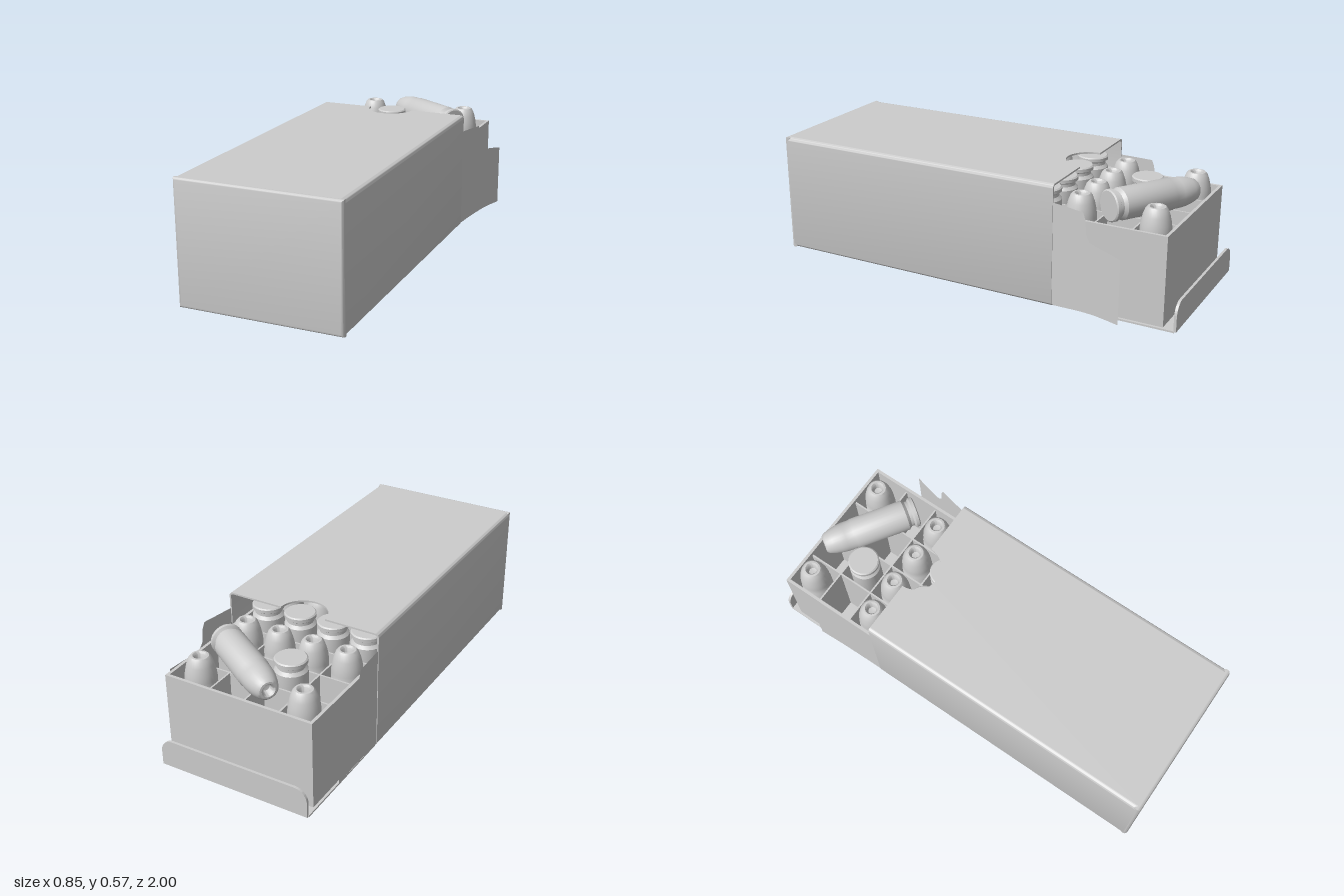
import * as THREE from 'three';
import { toCreasedNormals } from 'three/addons/utils/BufferGeometryUtils.js';

const X0 = -0.415, X1 = 0.337, TOP = 0.566, MOUTH = -0.43, T = 0.008;

export function createModel() {
  const model = new THREE.Group();
  const grey = new THREE.MeshStandardMaterial({ color: 0xcccccc });
  const thin = new THREE.MeshStandardMaterial({ color: 0xcccccc, side: THREE.DoubleSide });

  const add = (parent, name, geometry, material = grey) => {
    const mesh = new THREE.Mesh(geometry, material);
    mesh.name = name;
    parent.add(mesh);
    return mesh;
  };
  // Box given by its minimum and maximum corners
  const slab = (parent, name, a, b) => {
    const g = new THREE.BoxGeometry(b[0] - a[0], b[1] - a[1], b[2] - a[2]);
    g.translate((a[0] + b[0]) / 2, (a[1] + b[1]) / 2, (a[2] + b[2]) / 2);
    return add(parent, name, g);
  };
  const extrude = (shape, depth, options = {}) => toCreasedNormals(
    new THREE.ExtrudeGeometry(shape, { depth, bevelEnabled: false, curveSegments: 16, ...options }), 0.7);

  // ---- Outer carton sleeve, open at the back ----
  const sleeve = new THREE.Group();
  sleeve.name = 'sleeve';
  model.add(sleeve);

  // Floor and side walls with rounded long edges; the top panel closes the gap
  const r = 0.018, ri = r - T;
  const channel = new THREE.Shape();
  channel.moveTo(X0 + r, TOP);
  channel.absarc(X0 + r, TOP - r, r, Math.PI / 2, Math.PI, false);
  channel.absarc(X0 + r, r, r, Math.PI, Math.PI * 1.5, false);
  channel.absarc(X1 - r, r, r, Math.PI * 1.5, Math.PI * 2, false);
  channel.absarc(X1 - r, TOP - r, r, 0, Math.PI / 2, false);
  channel.absarc(X1 - r, TOP - r, ri, Math.PI / 2, 0, true);
  channel.absarc(X1 - r, r, ri, 0, -Math.PI / 2, true);
  channel.absarc(X0 + r, r, ri, -Math.PI / 2, -Math.PI, true);
  channel.absarc(X0 + r, TOP - r, ri, Math.PI, Math.PI / 2, true);
  const channelGeo = extrude(channel, 0.985 - MOUTH, { curveSegments: 5 });
  channelGeo.translate(0, 0, MOUTH);
  add(sleeve, 'sleeveWalls', channelGeo);

  // Top panel with a half-round thumb notch
  const panel = new THREE.Shape();
  panel.moveTo(X0 + r, -0.985);
  panel.lineTo(X1 - r, -0.985);
  panel.lineTo(X1 - r, -MOUTH);
  panel.lineTo(0.065, -MOUTH);
  panel.absarc(-0.045, -MOUTH, 0.11, 0, Math.PI, true);
  panel.lineTo(X0 + r, -MOUTH);
  const panelGeo = extrude(panel, T);
  panelGeo.rotateX(-Math.PI / 2).translate(0, TOP - T, 0);
  add(sleeve, 'sleeveTop', panelGeo);

  // Closed front end with softened edges
  const b = 0.015;
  const end = new THREE.Shape();
  end.moveTo(X0 + b, b);
  end.lineTo(X1 - b, b);
  end.lineTo(X1 - b, TOP - b);
  end.lineTo(X0 + b, TOP - b);
  const endGeo = extrude(end, 0.005, { bevelEnabled: true, bevelSize: b, bevelThickness: b, bevelSegments: 4 });
  endGeo.translate(0, 0, 1 - b - 0.005);
  add(sleeve, 'sleeveFront', endGeo);

  // Side flaps: stepped outline rows of [z, bottom, top], splayed outward
  const rows = [[-0.43, 0.01, 0.485], [-0.51, 0.018, 0.483], [-0.585, 0.024, 0.48], [-0.597, 0.025, 0.45],
    [-0.604, 0.026, 0.385], [-0.62, 0.027, 0.355], [-0.66, 0.03, 0.345], [-0.72, 0.03, 0.336], [-0.78, 0.03, 0.325]];
  const sideFlap = (name, x, splay) => {
    const g = new THREE.PlaneGeometry(1, 1, rows.length - 1, 1);
    const p = g.attributes.position;
    for (let i = 0; i < p.count; i++) {
      const [z, low, high] = rows[i % rows.length];
      const t = (MOUTH - z) / 0.35;
      p.setXYZ(i, x + splay * (0.75 * t + 0.25 * t * t), i < rows.length ? high : low, z);
    }
    g.computeVertexNormals();
    add(sleeve, name, g, thin);
  };
  sideFlap('leftFlap', X1 - 0.003, 0.088);
  sideFlap('rightFlap', X0 + 0.003, -0.013);

  // Bottom flap and its turned-up tuck tab with rounded corners
  slab(sleeve, 'bottomFlap', [-0.408, 0, -0.992], [0.322, T, MOUTH]);
  const tab = new THREE.Shape();
  tab.moveTo(-0.405, 0.002);
  tab.lineTo(0.318, 0.002);
  tab.lineTo(0.318, 0.075);
  tab.absarc(0.258, 0.072, 0.06, 0, Math.PI / 2, false);
  tab.absarc(-0.345, 0.072, 0.06, Math.PI / 2, Math.PI, false);
  const tabGeo = extrude(tab, 0.012);
  tabGeo.translate(0, 0, -1);
  add(sleeve, 'tuckTab', tabGeo);

  // ---- Inner tray with a grid of cells ----
  const tray = new THREE.Group();
  tray.name = 'tray';
  model.add(tray);
  const L = -0.398, R = 0.313, B = -0.94, F = 0.965, H = 0.42, W = 0.014;
  slab(tray, 'trayFloor', [L, 0.01, B], [R, 0.04, F]);
  slab(tray, 'trayBack', [L, 0.01, B], [R, H, B + W]);
  slab(tray, 'trayFront', [L, 0.01, F - W], [R, H, F]);
  slab(tray, 'trayLeft', [R - W, 0.01, B], [R, H, F]);
  slab(tray, 'trayRight', [L, 0.01, B], [L + W, H, F]);
  const columns = [-0.305, -0.137, 0.031, 0.2];
  const rowZ = (j) => -0.845 + 0.172 * j;
  const rowCount = 11;
  for (const x of [-0.221, -0.053, 0.1155]) {
    slab(tray, 'lengthDivider', [x - 0.004, 0.03, B], [x + 0.004, 0.395, F]);
  }
  for (let j = 0; j < rowCount - 1; j++) {
    const z = rowZ(j) + 0.086;
    slab(tray, 'crossDivider', [L, 0.03, z - 0.004], [R, 0.395, z + 0.004]);
  }

  // ---- Cartridges: rim, groove, straight case, hollow tapered nose ----
  const profile = [[0, 0], [0.066, 0], [0.072, 0.005], [0.072, 0.02], [0.06, 0.028], [0.06, 0.042], [0.072, 0.056],
    [0.072, 0.31], [0.069, 0.316], [0.069, 0.355], [0.066, 0.385], [0.058, 0.42], [0.048, 0.447], [0.039, 0.457],
    [0.03, 0.458], [0.023, 0.45], [0.018, 0.425], [0, 0.422]].map(([x, y]) => new THREE.Vector2(x, y));
  const roundGeo = toCreasedNormals(new THREE.LatheGeometry(profile, 28), 0.6);
  const cartridges = new THREE.Group();
  cartridges.name = 'cartridges';
  model.add(cartridges);
  const stand = (x, z, noseUp) => {
    const m = add(cartridges, 'cartridge', roundGeo);
    m.position.set(x, noseUp ? 0.043 : 0.503, z);
    if (!noseUp) m.rotation.x = Math.PI;
  };
  stand(columns[0], rowZ(0), true);
  stand(columns[3], rowZ(0), true);
  stand(columns[1], rowZ(1), false);
  for (let j = 2; j < rowCount; j++) {
    for (const x of columns) stand(x, rowZ(j), j % 2 === 0);
  }

  // Loose cartridge lying across the tray
  const loose = add(cartridges, 'looseCartridge', roundGeo);
  loose.position.set(0.217, 0.468, -0.635);
  loose.quaternion.setFromUnitVectors(new THREE.Vector3(0, 1, 0),
    new THREE.Vector3(-0.38, 0, -0.25).normalize());

  return model;
}
